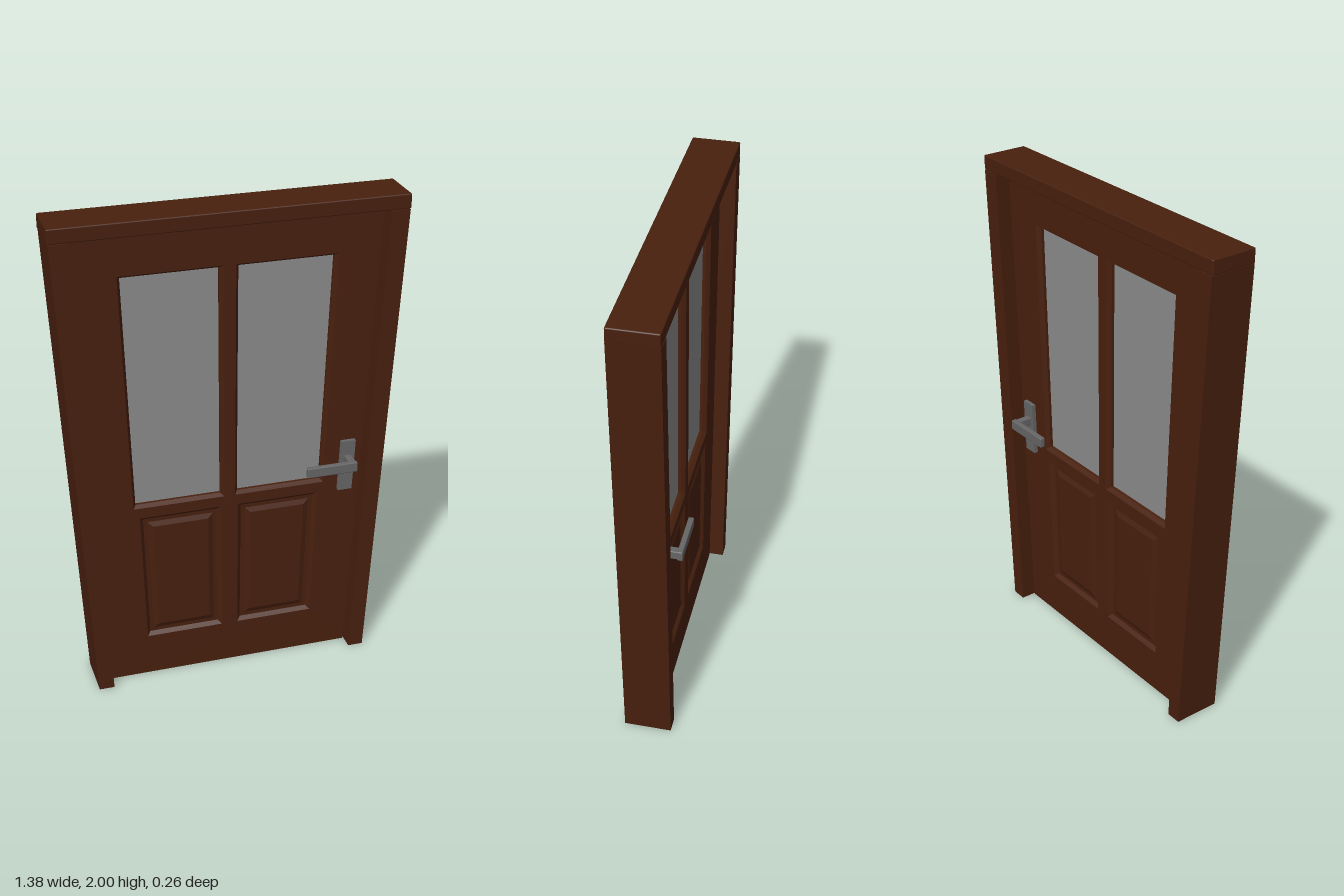
import * as THREE from 'three';
import { RoundedBoxGeometry } from 'three/addons/geometries/RoundedBoxGeometry.js';

const wood = new THREE.MeshStandardMaterial({ color: 0x48200e });
const glass = new THREE.MeshStandardMaterial({ color: 0x8c8c8c });
const metal = new THREE.MeshStandardMaterial({ color: 0x666666 });

const LEAF = 0.035; // half thickness of the door leaf
const FRAME = 0.095; // half depth of the frame

// Widens a geometry towards the top, then gives it flat facets.
function taper(geometry) {
  const g = geometry.index ? geometry.toNonIndexed() : geometry;
  const p = g.attributes.position;
  for (let i = 0; i < p.count; i++) p.setX(i, p.getX(i) * (1 + 0.1 * p.getY(i)));
  g.computeVertexNormals();
  return g;
}

function add(parent, name, geometry, material) {
  const mesh = new THREE.Mesh(geometry, material);
  mesh.name = name;
  parent.add(mesh);
  return mesh;
}

// Box given by its limits on each axis.
function box(x0, x1, y0, y1, z0, z1) {
  return new THREE.BoxGeometry(x1 - x0, y1 - y0, z1 - z0)
    .translate((x0 + x1) / 2, (y0 + y1) / 2, (z0 + z1) / 2);
}

function roundedBox(x0, x1, y0, y1, z0, z1, r) {
  return new RoundedBoxGeometry(x1 - x0, y1 - y0, z1 - z0, 2, r)
    .translate((x0 + x1) / 2, (y0 + y1) / 2, (z0 + z1) / 2);
}

// Rectangular rings stepping inwards; each profile entry is [inset, z].
function moulding([x0, x1, y0, y1], profile, capped) {
  const pos = [], index = [];
  for (const [d, z] of profile) {
    pos.push(x0 + d, y0 + d, z, x1 - d, y0 + d, z, x1 - d, y1 - d, z, x0 + d, y1 - d, z);
  }
  for (let r = 0; r < profile.length - 1; r++) {
    for (let k = 0; k < 4; k++) {
      const a = r * 4 + k, b = r * 4 + (k + 1) % 4;
      index.push(a, b, b + 4, a, b + 4, a + 4);
    }
  }
  const c = (profile.length - 1) * 4;
  if (capped) index.push(c, c + 1, c + 2, c, c + 2, c + 3);
  const g = new THREE.BufferGeometry();
  g.setAttribute('position', new THREE.Float32BufferAttribute(pos, 3));
  g.setIndex(index);
  return taper(g);
}

export function createModel() {
  const model = new THREE.Group();
  model.name = 'door';

  // Frame: two leaning posts and a header
  const frame = new THREE.Group();
  frame.name = 'frame';
  model.add(frame);
  add(frame, 'leftPost', taper(box(0.513, 0.575, 0, 1.94, -FRAME, FRAME)), wood);
  add(frame, 'rightPost', taper(box(-0.575, -0.513, 0, 1.94, -FRAME, FRAME)), wood);
  add(frame, 'header', roundedBox(-0.69, 0.69, 1.942, 2, -FRAME, FRAME, 0.005), wood);

  // Leaf: one slab with openings for two windows and two panels
  const leaf = new THREE.Group();
  leaf.name = 'leaf';
  model.add(leaf);
  const openings = [];
  for (const s of [-1, 1]) {
    const [xa, xb] = s < 0 ? [-1, -1] : [1, 1];
    const span = (inner, outer) => [inner * xa, outer * xb].sort((a, b) => a - b);
    openings.push({ kind: 'window', rect: [...span(0.021, 0.366), 0.79, 1.772] });
    openings.push({ kind: 'panel', rect: [...span(0.033, 0.345), 0.18, 0.745] });
  }
  const outline = new THREE.Shape([[-0.508, 0], [0.508, 0], [0.508, 1.937], [-0.508, 1.937]]
    .map(([x, y]) => new THREE.Vector2(x, y)));
  for (const { rect: [x0, x1, y0, y1] } of openings) {
    outline.holes.push(new THREE.Path([[x0, y0], [x0, y1], [x1, y1], [x1, y0]]
      .map(([x, y]) => new THREE.Vector2(x, y))));
  }
  const slab = new THREE.ExtrudeGeometry(outline, { depth: LEAF * 2, bevelEnabled: false });
  add(leaf, 'stilesAndRails', taper(slab.translate(0, 0, -LEAF)), wood);

  // Mouldings, raised panels and panes, the same on both faces
  for (const { kind, rect } of openings) {
    const [x0, x1, y0, y1] = rect;
    if (kind === 'window') {
      add(leaf, 'glassPane', taper(box(x0, x1, y0, y1, -0.006, 0.006)), glass);
    }
    for (const turn of [0, Math.PI]) {
      const g = kind === 'window'
        ? moulding(rect, [[0, LEAF], [0.011, 0.018], [0.011, 0.005]], false)
        : moulding(rect, [[0, LEAF], [0.014, 0.02], [0.03, 0.02], [0.05, 0.029]], true);
      add(leaf, kind === 'window' ? 'windowMoulding' : 'raisedPanel', g, wood).rotation.y = turn;
    }
  }

  // Handles on both faces
  for (const s of [1, -1]) {
    const handle = new THREE.Group();
    handle.name = s > 0 ? 'frontHandle' : 'backHandle';
    model.add(handle);
    const span = (a, b) => (s > 0 ? [a, b] : [-b, -a]);
    add(handle, 'backPlate', taper(box(0.423, 0.478, 0.75, 0.97, ...span(LEAF, 0.052))), metal);
    add(handle, 'spindle', roundedBox(0.475, 0.505, 0.872, 0.908, ...span(0.045, 0.12), 0.003), metal);
    add(handle, 'lever', roundedBox(0.297, 0.507, 0.868, 0.91, ...span(0.106, 0.128), 0.004), metal);
  }

  return model;
}
